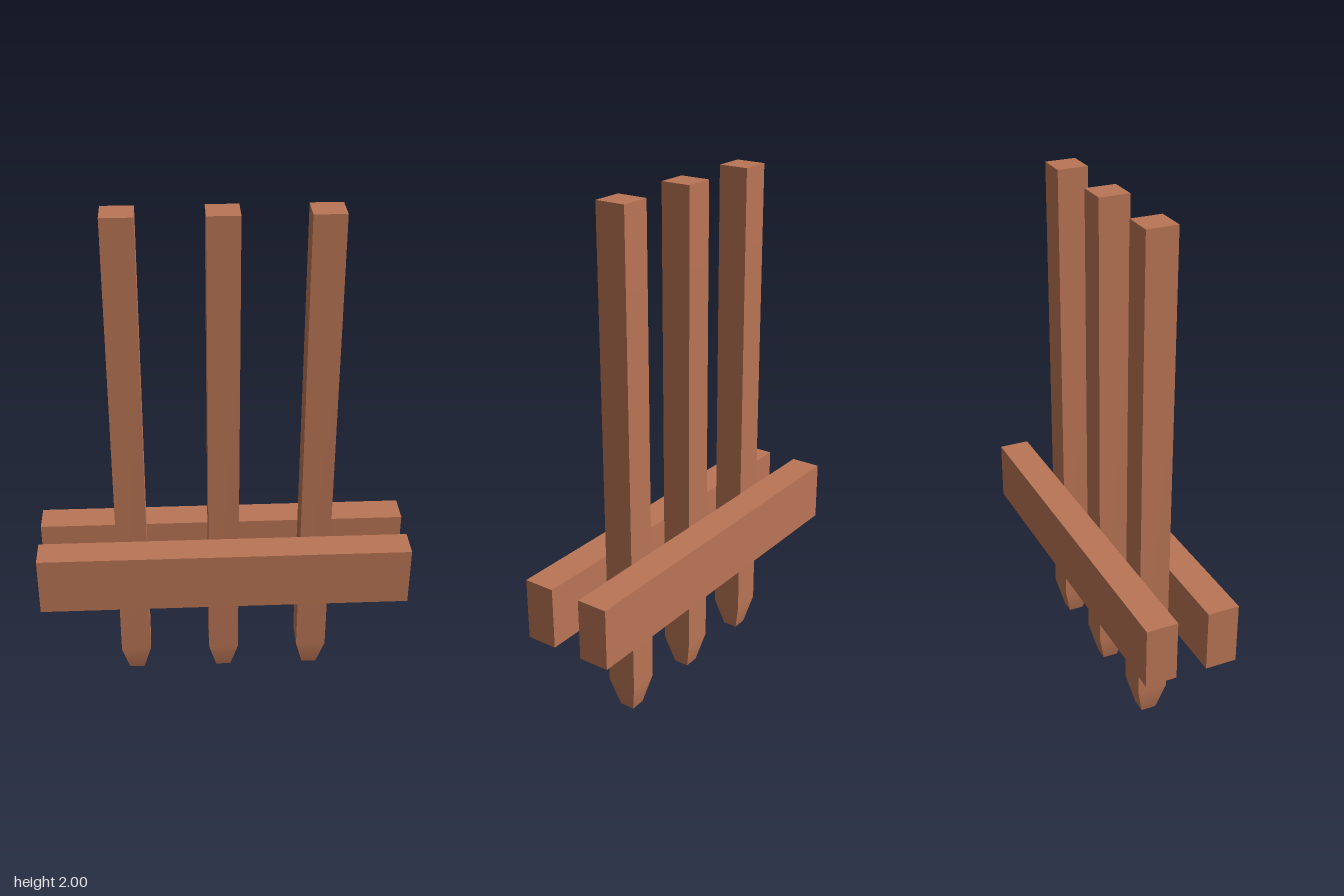
import * as THREE from 'three';

const POST = 0.12, HEIGHT = 2, TIP = 0.12;

// Square post whose lowest part tapers to half width
function postGeometry() {
  const geo = new THREE.BoxGeometry(POST, HEIGHT, POST, 1, 2, 1);
  geo.translate(0, HEIGHT / 2, 0);
  const p = geo.attributes.position;
  for (let i = 0; i < p.count; i++) {
    const y = p.getY(i);
    if (y < 0.01) p.setXYZ(i, p.getX(i) * 0.5, 0, p.getZ(i) * 0.5);
    else if (y < HEIGHT - 0.01) p.setY(i, TIP);
  }
  geo.computeVertexNormals();
  return geo;
}

export function createModel() {
  const group = new THREE.Group();
  group.name = 'stakeFence';
  const wood = new THREE.MeshStandardMaterial({ color: 0xba7555 });
  wood.name = 'reddish wood';

  const add = (name, geo, x, y, z) => {
    const mesh = new THREE.Mesh(geo, wood);
    mesh.name = name;
    mesh.position.set(x, y, z);
    group.add(mesh);
  };

  // Three pointed posts
  const post = postGeometry();
  add('rightPost', post, -0.364, 0, 0);
  add('middlePost', post, 0, 0, 0);
  add('leftPost', post, 0.364, 0, 0);

  // Rails clamping the posts front and back
  const rail = new THREE.BoxGeometry(1.455, 0.24, 0.122);
  add('frontRail', rail, 0, 0.547, 0.121);
  add('backRail', rail, 0, 0.547, -0.121);

  return group;
}
